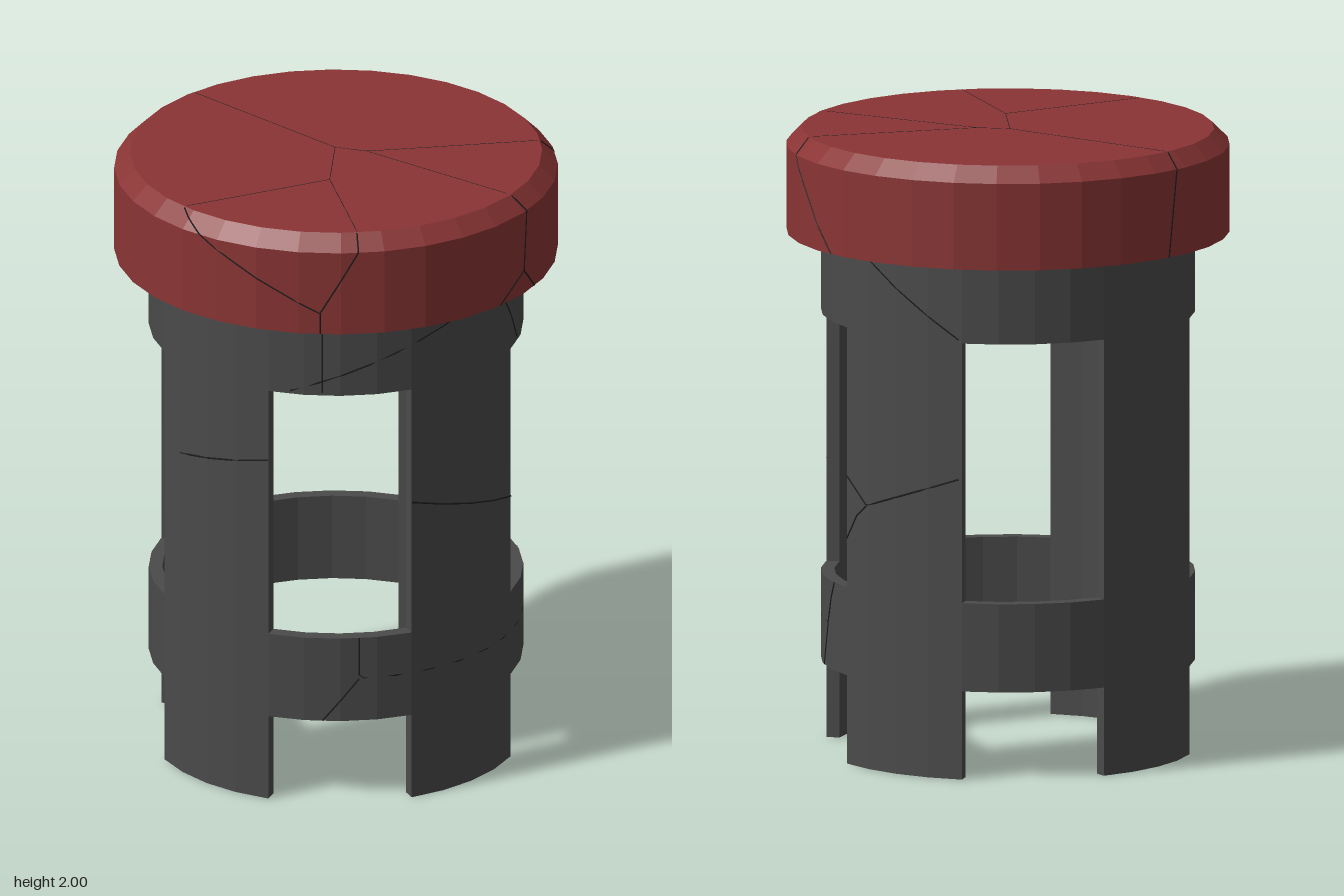
import * as THREE from 'three';

const SIDES = 32, STEP = (Math.PI * 2) / SIDES;
const R_OUT = 0.595, R_IN = 0.552, CAP_R = 0.705, CAP_TOP_R = 0.655;
const CAP_Y = 1.67, BEVEL_Y = 1.95, TOP_Y = 2;
const LEVELS = [0, 0.285, 0.57, 1.41, CAP_Y];

const point = (r, a, y) => new THREE.Vector3(r * Math.sin(a), y, r * Math.cos(a));

// Four 45 degree openings: notches at the foot (level 0) and windows above (level 2)
function solid(sector, level) {
  if (level < 0 || level > 3) return false;
  const s = (sector + SIDES) % SIDES;
  return level % 2 === 1 || s % 8 < 4;
}

// Hollow faceted tube: emit only the faces that border an opening or the air
function tubeGeometry() {
  const pos = [];
  const quad = (a, b, c, d) => [a, b, c, a, c, d].forEach((p) => pos.push(p.x, p.y, p.z));
  for (let s = 0; s < SIDES; s++) {
    const a = s * STEP, b = a + STEP;
    for (let l = 0; l < 4; l++) {
      if (!solid(s, l)) continue;
      const y = LEVELS[l], t = LEVELS[l + 1];
      const o = [point(R_OUT, a, y), point(R_OUT, b, y), point(R_OUT, b, t), point(R_OUT, a, t)];
      const i = [point(R_IN, a, y), point(R_IN, b, y), point(R_IN, b, t), point(R_IN, a, t)];
      quad(o[0], o[1], o[2], o[3]);
      quad(i[1], i[0], i[3], i[2]);
      if (!solid(s, l - 1)) quad(i[0], i[1], o[1], o[0]);
      if (l < 3 && !solid(s, l + 1)) quad(o[3], o[2], i[2], i[3]);
      if (!solid(s - 1, l)) quad(i[0], o[0], o[3], i[3]);
      if (!solid(s + 1, l)) quad(o[1], i[1], i[2], o[2]);
    }
  }
  const geometry = new THREE.BufferGeometry();
  geometry.setAttribute('position', new THREE.Float32BufferAttribute(pos, 3));
  geometry.computeVertexNormals();
  return geometry;
}

// Place (degrees, height) on a faceted wall whose radius depends on height
function onWall(radiusAt) {
  return (deg, y) => {
    const a = THREE.MathUtils.degToRad(deg);
    const off = a - (Math.floor(a / STEP) + 0.5) * STEP;
    return point((radiusAt(y) * Math.cos(STEP / 2)) / Math.cos(off), a, y);
  };
}

// Hairline crack: a very thin strand lying in the surface
function addCracks(group, name, material, lines, place) {
  lines.forEach((line) => {
    const path = new THREE.CurvePath();
    for (let k = 0; k + 1 < line.length; k++) {
      const [u0, v0] = line[k], [u1, v1] = line[k + 1];
      for (let n = 0; n < 8; n++) {
        const at = (f) => place(u0 + (u1 - u0) * f, v0 + (v1 - v0) * f);
        path.add(new THREE.LineCurve3(at(n / 8), at((n + 1) / 8)));
      }
    }
    const tube = new THREE.TubeGeometry(path, (line.length - 1) * 16, 0.003, 4, false);
    const mesh = new THREE.Mesh(tube, material);
    mesh.name = name;
    group.add(mesh);
  });
}

export function createModel() {
  const model = new THREE.Group();
  model.name = 'ventedTube';
  const grey = new THREE.MeshStandardMaterial({ color: 0x4a4a4a, flatShading: true });
  const red = new THREE.MeshStandardMaterial({ color: 0x8a3434, flatShading: true });
  const dark = new THREE.MeshStandardMaterial({ color: 0x1c1c1c });

  // Tube wall with windows and foot notches
  const body = new THREE.Mesh(tubeGeometry(), grey);
  body.name = 'tubeWall';
  model.add(body);

  // Solid overhanging cap with a bevelled rim
  const profile = [[0, CAP_Y], [CAP_R, CAP_Y], [CAP_R, BEVEL_Y], [CAP_TOP_R, TOP_Y], [0, TOP_Y]];
  const cap = new THREE.Mesh(
    new THREE.LatheGeometry(profile.map(([x, y]) => new THREE.Vector2(x, y)), SIDES), red);
  cap.name = 'cap';
  model.add(cap);

  // Cracks across the cap top, as x and z
  addCracks(model, 'capTopCrack', dark, [
    [[0.01, -0.03], [-0.22, -0.61]],
    [[0.01, -0.03], [-0.11, 0.2], [-0.61, 0.21]],
    [[-0.11, 0.2], [-0.2, 0.62]],
    [[0.01, -0.03], [0.09, 0.04], [0.62, 0.18]],
    [[0.09, 0.04], [0.36, 0.53]],
  ], (x, z) => new THREE.Vector3(x, TOP_Y - 0.002, z));

  // Cracks down the cap rim, as degrees and height
  const capRadius = (y) => (y < BEVEL_Y ? CAP_R
    : THREE.MathUtils.mapLinear(y, BEVEL_Y, TOP_Y, CAP_R, CAP_TOP_R));
  addCracks(model, 'capRimCrack', dark, [
    [[-71, 1.997], [-62, 1.95], [-28, 1.74], [-28, 1.67]],
    [[-28, 1.74], [-18, 1.95], [-18, 1.997]],
    [[34, 1.997], [35.5, 1.95], [34, 1.75], [24, 1.67]],
    [[34, 1.75], [40, 1.67]],
    [[74, 1.997], [76, 1.95], [96, 1.67]],
    [[-160, 1.997], [-161, 1.95], [-164, 1.67]],
  ], onWall(capRadius));

  // Cracks in the tube wall
  addCracks(model, 'wallCrack', dark, [
    [[-80, 1.1], [-45, 1.17]],
    [[0, 1.02], [45, 0.9]],
    [[-16.6, 0.57], [-16.6, 0.43], [75, 0.43], [81, 0.57]],
    [[-16.6, 0.43], [-28, 0.285]],
    [[75, 0.43], [70, 0.285]],
    [[-28, 1.67], [-28, 1.42]],
    [[-38, 1.42], [28, 1.67]],
    [[36, 1.67], [52, 1.42]],
    [[90, 0.93], [100, 0.85], [134, 0.97]],
    [[100, 0.85], [95, 0.81], [90, 0.73]],
    [[98, 1.67], [134, 1.42]],
  ], onWall(() => R_OUT));

  return model;
}
